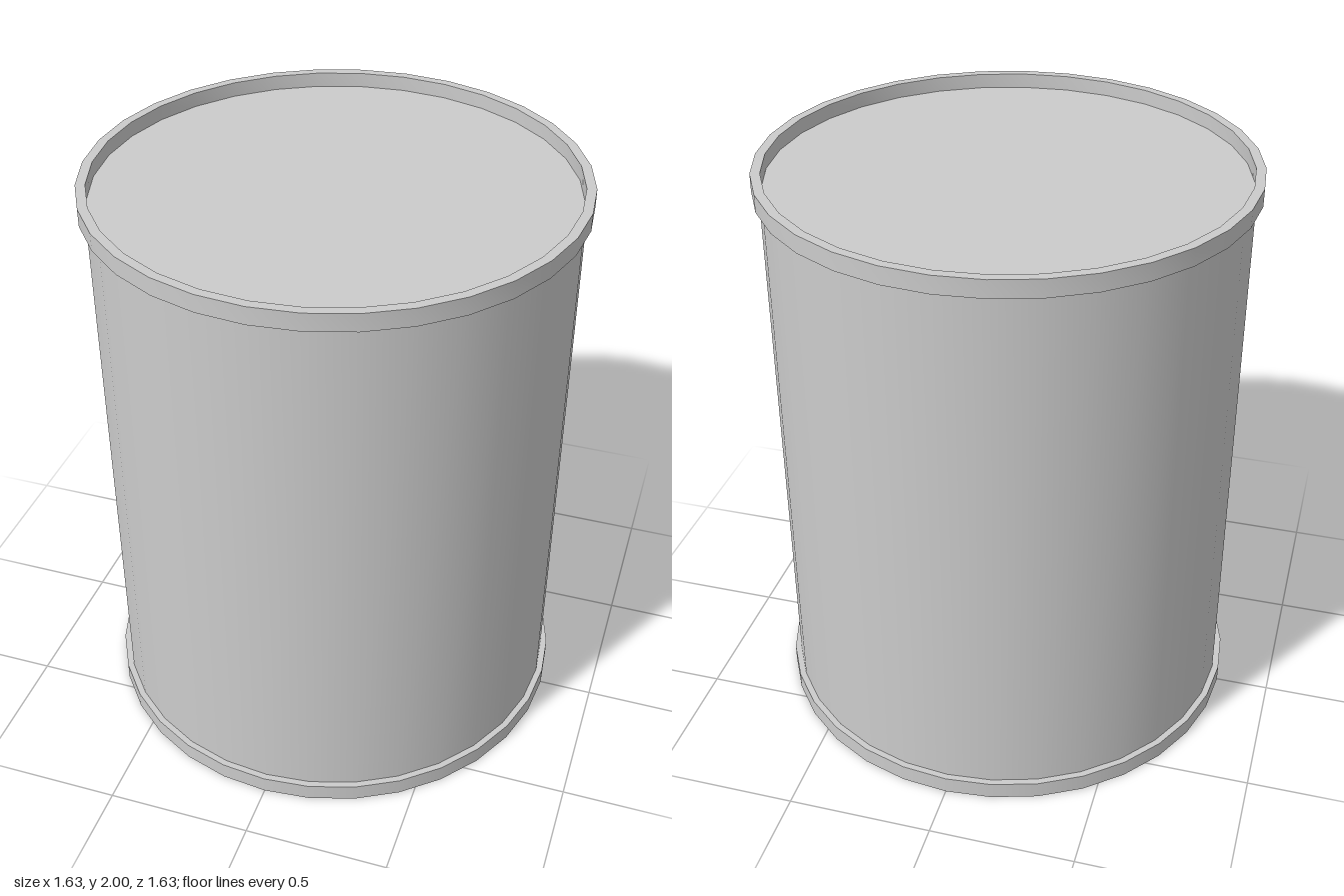
import * as THREE from 'three';
import { toCreasedNormals } from 'three/addons/utils/BufferGeometryUtils.js';

const SIDES = 32;
const HEIGHT = 2;
const BODY_R = 0.793;
const RIM_R = 0.815;
const RIM_H = 0.06;
const INNER_R = 0.783;
const LID_Y = HEIGHT - 0.05;

export function createModel() {
  const group = new THREE.Group();
  const material = new THREE.MeshStandardMaterial({ color: 0xcccccc });

  const add = (name, geometry, y = 0) => {
    const mesh = new THREE.Mesh(geometry, material);
    mesh.name = name;
    mesh.position.y = y;
    group.add(mesh);
    return mesh;
  };

  // Straight drum wall between the two rims
  const wallHeight = HEIGHT - 2 * RIM_H;
  add('body', new THREE.CylinderGeometry(BODY_R, BODY_R, wallHeight, SIDES, 1, true), HEIGHT / 2);

  // Flat base with its protruding rim
  add('baseRim', new THREE.CylinderGeometry(RIM_R, RIM_R, RIM_H, SIDES), RIM_H / 2);

  // Raised ring around the recessed lid
  const profile = [
    [INNER_R, 0], [RIM_R, 0], [RIM_R, RIM_H], [INNER_R, RIM_H], [INNER_R, 0],
  ].map(([r, y]) => new THREE.Vector2(r, y));
  const ring = toCreasedNormals(new THREE.LatheGeometry(profile, SIDES), Math.PI / 6);
  add('topRim', ring, HEIGHT - RIM_H);

  // Lid sunk just below the top edge
  const lid = add('lid', new THREE.CircleGeometry(INNER_R, SIDES), LID_Y);
  lid.rotation.x = -Math.PI / 2;

  return group;
}
